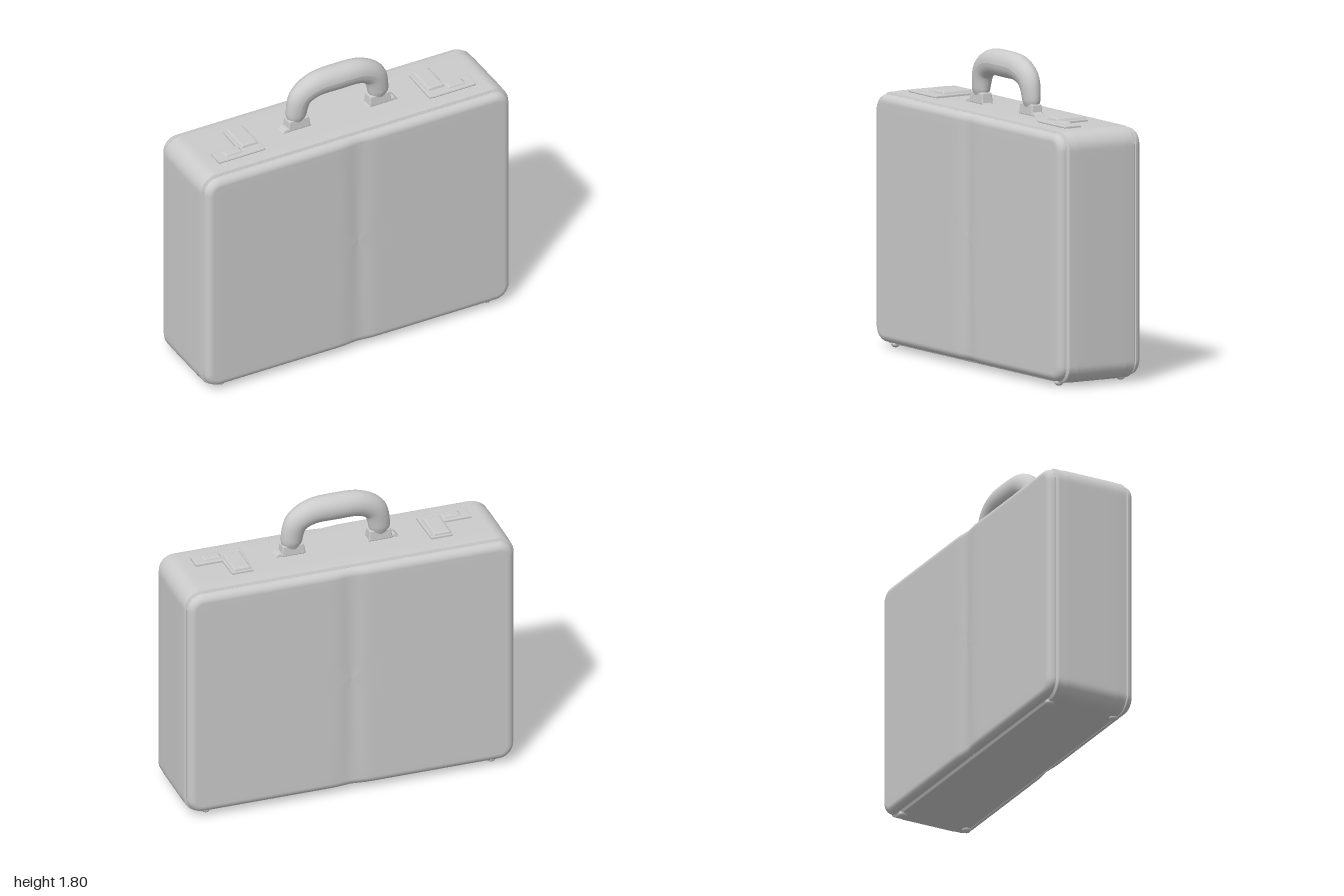
import * as THREE from 'three';
import { RoundedBoxGeometry } from 'three/addons/geometries/RoundedBoxGeometry.js';

const material = new THREE.MeshStandardMaterial({ color: 0xcccccc });

function add(parent, name, geometry, x = 0, y = 0, z = 0) {
  const mesh = new THREE.Mesh(geometry, material);
  mesh.name = name;
  mesh.position.set(x, y, z);
  parent.add(mesh);
  return mesh;
}

// Counter-clockwise rounded rectangle, with its straight edges subdivided
function outline(halfW, halfH, r) {
  const pts = [], arcSteps = 10, edgeSteps = 40;
  const corners = [[1, 1], [-1, 1], [-1, -1], [1, -1]];
  corners.forEach(([sx, sy], q) => {
    for (let i = 0; i <= arcSteps; i++) {
      const a = (q + i / arcSteps) * Math.PI / 2;
      pts.push(new THREE.Vector2(sx * (halfW - r) + r * Math.cos(a), sy * (halfH - r) + r * Math.sin(a)));
    }
    const [nx, ny] = corners[(q + 1) % 4], a = (q + 1) * Math.PI / 2;
    const from = pts[pts.length - 1];
    const to = new THREE.Vector2(nx * (halfW - r) + r * Math.cos(a), ny * (halfH - r) + r * Math.sin(a));
    for (let i = 1; i < edgeSteps; i++) pts.push(from.clone().lerp(to, i / edgeSteps));
  });
  return pts;
}

// Closed case shell: rings run from the front centre, over the edge, to the back centre
function caseGeometry() {
  const W = 0.995, H = 0.724, R = 0.105;
  const edge = [];
  for (let i = 0; i <= 8; i++) {
    const a = i / 8 * Math.PI / 2;
    edge.push([0.058 - 0.045 * Math.sin(a), 0.235 + 0.042 * Math.cos(a)]);
  }
  // Lid rim, seam groove, raised rail and the middle band
  edge.push([0.013, 0.234], [0.024, 0.231], [0.024, 0.226], [0.006, 0.222],
    [0.002, 0.217], [0.002, 0.165], [0, 0.16], [0, 0.05]);
  const rings = [], capSteps = 16;
  for (let i = 0; i < capSteps; i++) rings.push([0.058, 0.277, i / capSteps]);
  edge.forEach(([inset, z]) => rings.push([inset, z, 1]));
  const back = rings.map(([inset, z, s]) => [inset, -z, s]).reverse();
  const all = [...rings, ...back];

  const pos = [], index = [];
  let n = 0;
  all.forEach(([inset, z, s]) => {
    const loop = outline(W - inset, H - inset, R - inset);
    n = loop.length;
    loop.forEach(p => {
      const x = p.x * s, y = p.y * s;
      // Soft crease down the middle of both large panels
      const dip = Math.abs(z) > 0.24 ? 0.011 * Math.exp(-((x / 0.06) ** 2)) : 0;
      pos.push(x, y, z - Math.sign(z) * dip);
    });
  });
  for (let k = 0; k < all.length - 1; k++) {
    for (let i = 0; i < n; i++) {
      const a = k * n + i, d = k * n + (i + 1) % n;
      if (k > 0) index.push(a, a + n, d);
      else index.push(a, a + n, d + n);
      if (k > 0 && k < all.length - 2) index.push(a + n, d + n, d);
    }
  }
  const g = new THREE.BufferGeometry();
  g.setAttribute('position', new THREE.Float32BufferAttribute(pos, 3));
  g.setIndex(index);
  g.computeVertexNormals();
  return g;
}

// Arched grip, thick in the middle and slimmer at both ends
function gripGeometry() {
  const curve = new THREE.CatmullRomCurve3([
    [-0.262, 1.5], [-0.262, 1.57], [-0.235, 1.66], [-0.15, 1.712], [0, 1.722],
    [0.15, 1.712], [0.235, 1.66], [0.262, 1.57], [0.262, 1.5],
  ].map(([x, y]) => new THREE.Vector3(x, y, 0)));
  const steps = 64, sides = 24;
  const g = new THREE.TubeGeometry(curve, steps, 1, sides, false);
  const p = g.attributes.position, v = new THREE.Vector3();
  for (let k = 0; k <= steps; k++) {
    const t = k / steps, c = curve.getPointAt(t);
    const swell = Math.sin(Math.PI * t);
    const close = Math.min(1, 0.75 + Math.min(t, 1 - t) * 5);
    const across = (0.06 + 0.018 * swell) * close, deep = (0.042 + 0.03 * swell) * close;
    for (let i = 0; i <= sides; i++) {
      const j = k * (sides + 1) + i;
      v.fromBufferAttribute(p, j).sub(c);
      p.setXYZ(j, c.x + v.x * across, c.y + v.y * across, v.z * deep);
    }
  }
  g.computeVertexNormals();
  return g;
}

// Flat plate lying on the top, drawn in x and z, rising to y = height
function plate(points, height, bevel) {
  const shape = new THREE.Shape(points.map(([x, z]) => new THREE.Vector2(x, -z)));
  const g = new THREE.ExtrudeGeometry(shape, {
    depth: height - bevel, bevelThickness: bevel, bevelSize: bevel, bevelOffset: -bevel, bevelSegments: 2,
  });
  return g.rotateX(-Math.PI / 2);
}

// Box narrowed towards its top
function taperedBox(w, h, d, topX, topZ) {
  const g = new RoundedBoxGeometry(w, h, d, 3, 0.008);
  const p = g.attributes.position;
  for (let i = 0; i < p.count; i++) {
    const t = p.getY(i) / h + 0.5;
    p.setX(i, p.getX(i) * (1 + (topX - 1) * t));
    p.setZ(i, p.getZ(i) * (1 + (topZ - 1) * t));
  }
  g.computeVertexNormals();
  return g;
}

export function createModel() {
  const model = new THREE.Group();
  model.name = 'briefcase';
  const top = 1.466;

  add(model, 'caseBody', caseGeometry(), 0, 0.742, 0);
  add(model, 'handleGrip', gripGeometry(), 0, 0, 0.012);

  for (const s of [-1, 1]) {
    const side = s > 0 ? 'left' : 'right';

    // Handle mounts: base flange, bracket and pivot pin
    const mount = new THREE.Group();
    mount.name = side + 'HandleMount';
    add(mount, 'flange', taperedBox(0.2, 0.026, 0.066, 0.75, 0.9), s * 0.278, top + 0.008, 0.018);
    add(mount, 'bracket', taperedBox(0.145, 0.065, 0.075, 0.88, 0.85), s * 0.262, top + 0.032, 0.014);
    const pin = add(mount, 'pivotPin', new THREE.CylinderGeometry(0.014, 0.014, 0.125, 14), s * 0.262, 1.515, 0.014);
    pin.rotation.z = Math.PI / 2;
    model.add(mount);

    // L-shaped latch with a raised hasp and a sliding thumb button
    const latch = new THREE.Group();
    latch.name = side + 'Latch';
    const ell = [[0.53, 0.14], [0.53, 0.04], [0.535, -0.115], [0.665, -0.115], [0.67, 0.04], [0.83, 0.04], [0.83, 0.14]];
    const pts = ell.map(([x, z]) => [s * x, z]);
    add(latch, 'basePlate', plate(s > 0 ? pts : pts.reverse(), 0.014, 0.005), 0, top, 0);
    add(latch, 'hasp', taperedBox(0.125, 0.03, 0.2, 0.75, 0.92), s * 0.602, top + 0.017, -0.012);
    add(latch, 'thumbButton', taperedBox(0.13, 0.026, 0.062, 0.75, 0.75), s * 0.72, top + 0.011, 0.09);
    add(latch, 'frontLip', taperedBox(0.3, 0.016, 0.03, 0.92, 0.8), s * 0.68, top + 0.006, 0.128);
    model.add(latch);

    // Feet
    for (const z of [-0.208, 0.208]) {
      const foot = new THREE.SphereGeometry(0.026, 18, 12);
      add(model, 'foot', foot, s * 0.86, 0.02, z).scale.y = 0.77;
    }
  }
  return model;
}
